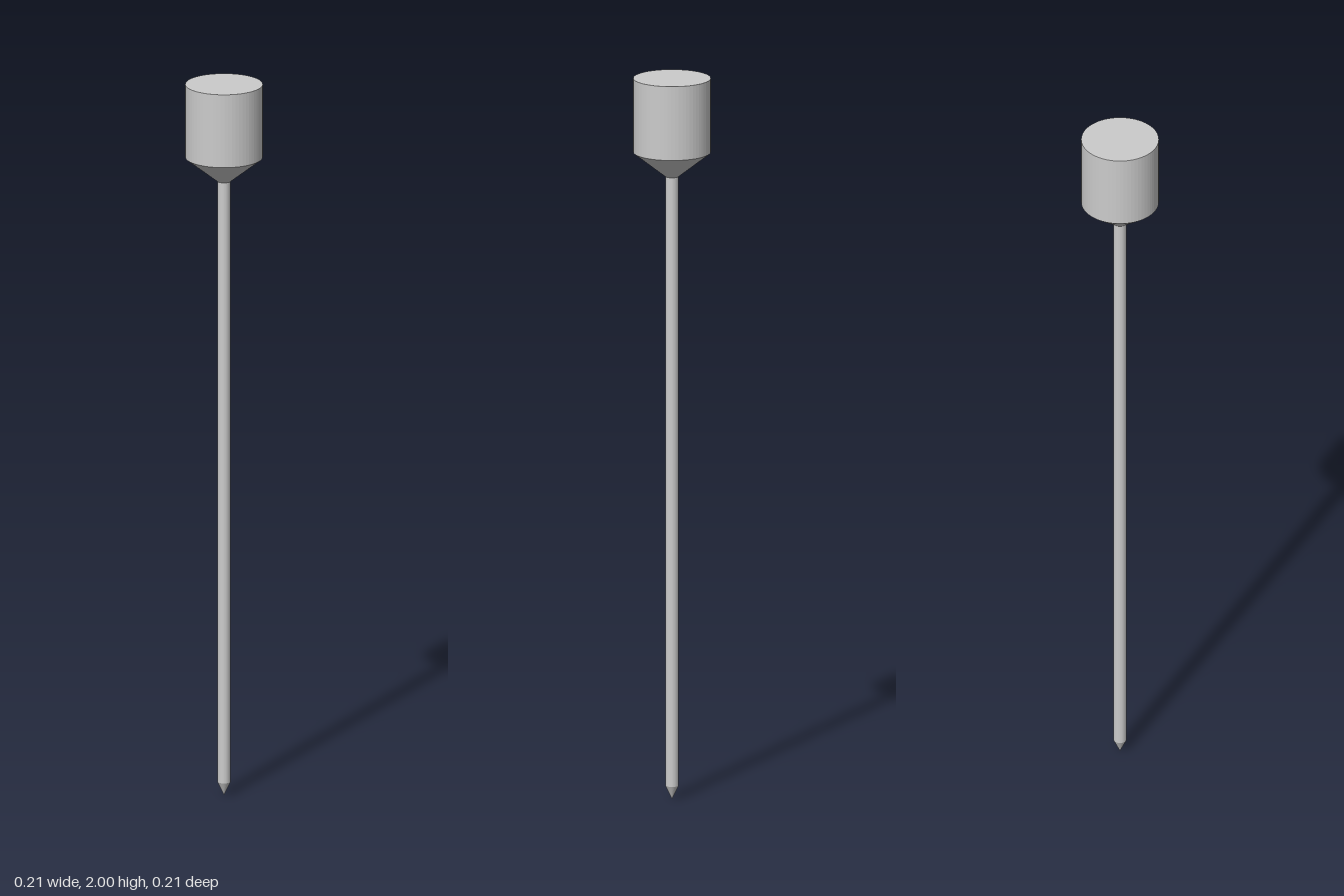
import * as THREE from 'three';

export function createModel() {
  const group = new THREE.Group();
  const material = new THREE.MeshStandardMaterial({ color: 0xcccccc, flatShading: true });
  const headRadius = 0.105, shaftRadius = 0.018;

  // One round section between two heights
  function section(name, rTop, rBottom, yBottom, yTop, sides, open) {
    const geometry = new THREE.CylinderGeometry(rTop, rBottom, yTop - yBottom, sides, 1, open);
    const mesh = new THREE.Mesh(geometry, material);
    mesh.name = name;
    mesh.position.y = (yBottom + yTop) / 2;
    group.add(mesh);
  }

  // Head: flat-topped cylinder with a conical underside
  const head = new THREE.Mesh(
    new THREE.LatheGeometry([
      new THREE.Vector2(shaftRadius, 1.727),
      new THREE.Vector2(headRadius, 1.795),
      new THREE.Vector2(headRadius, 2),
      new THREE.Vector2(0, 2),
    ], 64),
    material
  );
  head.name = 'head';
  group.add(head);

  // Long thin shaft and its pointed end
  section('shaft', shaftRadius, shaftRadius, 0.036, 1.73, 32, true);
  section('tip', shaftRadius, 0.001, 0, 0.036, 32, false);

  return group;
}
